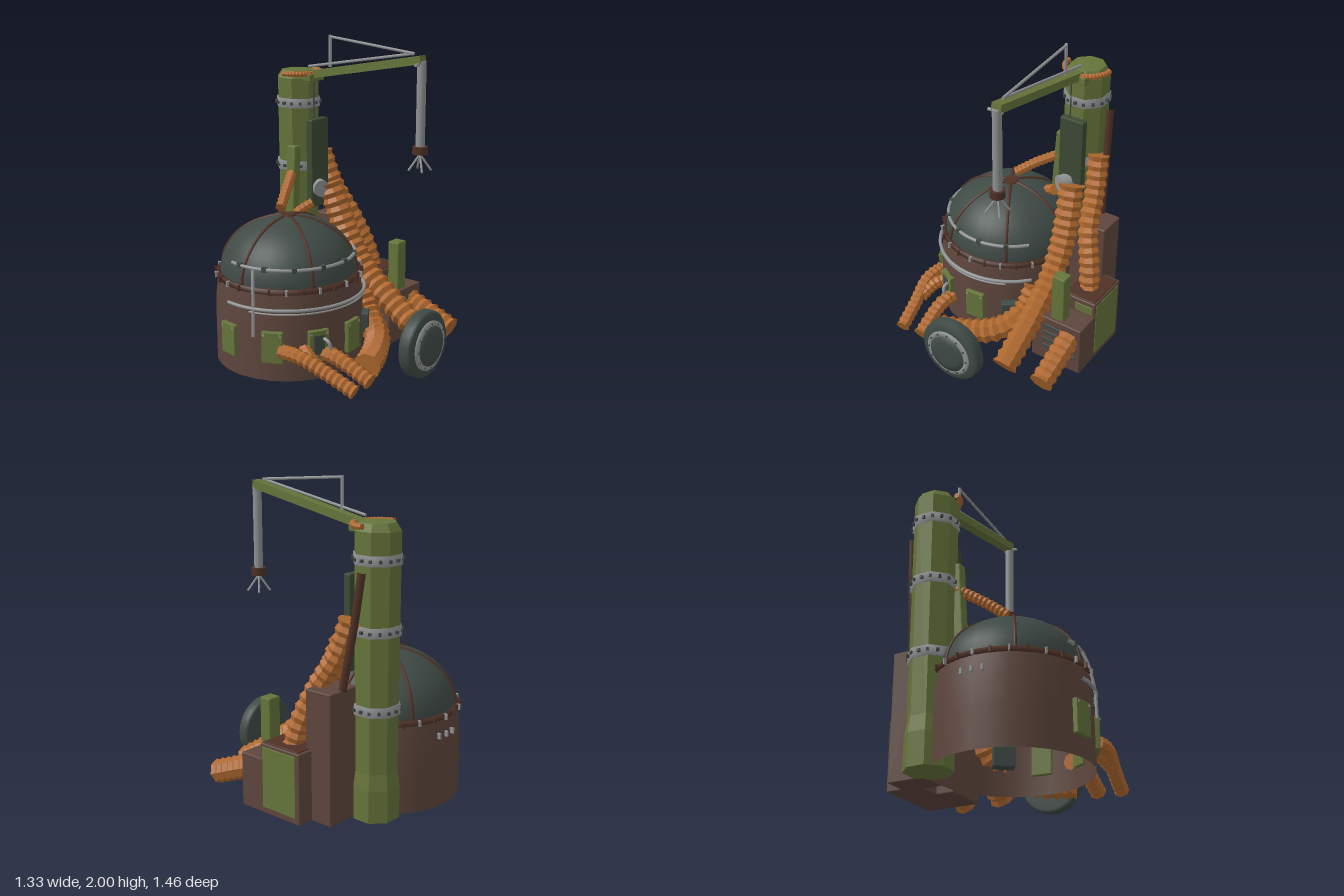
import * as THREE from 'three';
import { RoundedBoxGeometry } from 'three/addons/geometries/RoundedBoxGeometry.js';

const mat = (name, color, flatShading = false, side = THREE.FrontSide) =>
  Object.assign(new THREE.MeshStandardMaterial({ color, flatShading, side }), { name });
const V = (x, y, z) => new THREE.Vector3(x, y, z);
const CX = -0.17, CZ = -0.255; // drum axis
const TX = 0.226, TZ = -0.5;   // tower axis
const rad = THREE.MathUtils.degToRad;

export function createModel() {
  const root = new THREE.Group();
  const brown = mat('brown', 0x5e463d, false, THREE.DoubleSide);
  const rust = mat('darkRust', 0x4f3126);
  const green = mat('green', 0x65743a, true);
  const darkGreen = mat('darkGreen', 0x3c4a33, true);
  const dark = mat('charcoalGreen', 0x3f4a45, false, THREE.DoubleSide);
  const orange = mat('orange', 0xb0692f, true);
  const grey = mat('grey', 0x8f9192);

  const add = (name, geo, material, x = 0, y = 0, z = 0, parent = root) => {
    const m = new THREE.Mesh(geo, material);
    m.name = name;
    m.position.set(x, y, z);
    parent.add(m);
    return m;
  };
  // box given by its min and max corners
  const slab = (name, material, x0, x1, y0, y1, z0, z1, bevel = 0.008) =>
    add(name, new RoundedBoxGeometry(x1 - x0, y1 - y0, z1 - z0, 1, bevel), material,
      (x0 + x1) / 2, (y0 + y1) / 2, (z0 + z1) / 2);
  // straight rod between two points
  const rod = (name, material, a, b, r, r2 = r, sides = 8) => {
    const m = add(name, new THREE.CylinderGeometry(r2, r, a.distanceTo(b), sides), material);
    m.position.copy(a).lerp(b, 0.5);
    m.quaternion.setFromUnitVectors(V(0, 1, 0), b.clone().sub(a).normalize());
    return m;
  };
  const pipe = (name, material, pts, r, n = 32) =>
    add(name, new THREE.TubeGeometry(new THREE.CatmullRomCurve3(pts), n, r, 8), material);
  // ribbed hose: rings alternate wide and narrow, ends closed flat
  const hose = (name, pts, r, pitch = r * 0.85) => {
    const curve = new THREE.CatmullRomCurve3(pts);
    const n = Math.max(3, Math.round(curve.getLength() / pitch)) * 2, sides = 8;
    const geo = new THREE.TubeGeometry(curve, n, r, sides);
    const p = geo.attributes.position, v = V(0, 0, 0);
    for (let i = 0; i <= n; i++) {
      const c = curve.getPointAt(i / n);
      const k = i % 2 ? 1 : 0.8;
      const end = i === 0 || i === n;
      const capCentre = curve.getPointAt(i === 0 ? 1 / n : (n - 1) / n);
      for (let j = 0; j <= sides; j++) {
        const id = i * (sides + 1) + j;
        if (end) v.copy(capCentre);
        else v.fromBufferAttribute(p, id).sub(c).multiplyScalar(k).add(c);
        p.setXYZ(id, v.x, v.y, v.z);
      }
    }
    geo.computeVertexNormals();
    return add(name, geo, orange);
  };
  const polar = (deg, r, y, cx = CX, cz = CZ) =>
    V(cx + r * Math.cos(rad(deg)), y, cz + r * Math.sin(rad(deg)));
  const arc = (a0, a1, r, y, n = 14, cx = CX, cz = CZ) =>
    Array.from({ length: n + 1 }, (_, i) => polar(a0 + (a1 - a0) * i / n, r, y, cx, cz));
  // part turned to face outward from an axis
  const around = (name, geo, material, deg, r, y, cx, cz) => {
    const m = add(name, geo, material);
    m.position.copy(polar(deg, r, y, cx, cz));
    m.rotation.y = Math.PI / 2 - rad(deg);
    return m;
  };
  const lathe = (pts, n, phi = 0) =>
    new THREE.LatheGeometry(pts.map(([x, y]) => new THREE.Vector2(x, y)), n, phi);

  // Drum, open below, and dome
  add('drum', lathe([[0.468, 0], [0.468, 0.25], [0.463, 0.42], [0.448, 0.55]], 28), brown, CX, 0, CZ);
  const DR = 0.435, DH = 0.355, DY = 0.56;
  add('dome', new THREE.SphereGeometry(DR, 32, 12, 0, Math.PI * 2, 0, Math.PI / 2), dark, CX, DY, CZ)
    .scale.y = DH / DR;
  add('seamRing', lathe([[0.43, 0.545], [0.457, 0.545], [0.457, 0.575], [0.43, 0.575], [0.43, 0.545]], 28),
    rust, CX, 0, CZ);
  for (let k = 0; k < 6; k++) {
    const pts = Array.from({ length: 9 }, (_, i) => {
      const t = i / 8 * Math.PI / 2;
      return polar(k * 60, DR * Math.cos(t), DY + DH * Math.sin(t));
    });
    pipe('domeRib', rust, pts, 0.01, 20);
  }
  add('domeCap', new THREE.CylinderGeometry(0.045, 0.05, 0.016, 16), rust, CX, 0.916, CZ);
  const boltGeo = new THREE.BoxGeometry(0.012, 0.036, 0.024);
  for (let k = 0; k < 28; k++) around('seamBolt', boltGeo, k % 2 ? grey : rust, k * 360 / 28, 0.459, 0.56);

  // Rails and brackets round the drum
  pipe('upperRail', grey, arc(40, 195, 0.415, 0.685), 0.011, 48);
  pipe('lowerRail', grey, arc(40, 190, 0.478, 0.455), 0.011, 48);
  pipe('lowerRailTwin', grey, arc(60, 170, 0.475, 0.43), 0.006, 48);
  for (const a of [60, 85, 110, 135, 160, 185])
    around('railClip', new THREE.BoxGeometry(0.03, 0.03, 0.03), dark, a, 0.412, 0.685);
  pipe('sidePipe', grey, [polar(170, 0.42, 0.68), polar(168, 0.45, 0.6), polar(166, 0.478, 0.45),
    polar(166, 0.485, 0.28)], 0.01);
  for (const a of [262, 270, 278])
    around('backPeg', new THREE.BoxGeometry(0.012, 0.035, 0.04), grey, a, 0.46, 0.455);

  // Wall panels, showing on both sides of the drum wall
  for (const a of [85, 118, 152, 190]) {
    around('wallPanel', new RoundedBoxGeometry(0.13, 0.2, 0.045, 1, 0.006), green, a, 0.467, 0.22);
    for (const s of [-1, 1])
      around('panelBolt', new THREE.BoxGeometry(0.012, 0.012, 0.01), grey, a + s * 6, 0.492, 0.3);
  }
  around('panelOpening', new THREE.BoxGeometry(0.07, 0.12, 0.006), dark, 118, 0.492, 0.23);
  pipe('panelPipe', grey, [polar(115, 0.48, 0.27), polar(113, 0.53, 0.25), polar(111, 0.52, 0.18),
    polar(110, 0.46, 0.15)], 0.011);
  around('wallBox', new RoundedBoxGeometry(0.14, 0.13, 0.12, 1, 0.01), dark, 55, 0.45, 0.23);

  // Tower: eight-sided column with bevelled cap
  const oct = 1 / Math.cos(Math.PI / 8);
  const prism = pts => lathe(pts.map(([a, y]) => [a * oct, y]), 8, Math.PI / 8);
  add('tower', prism([[0, 0], [0.135, 0], [0.135, 0.2], [0.122, 0.3], [0.128, 1.72], [0.1, 1.765], [0, 1.77]]),
    green, TX, 0, TZ);
  for (const y of [1.56, 1.15, 0.68]) {
    add('towerBand', prism([[0.12, -0.03], [0.135, -0.03], [0.135, 0.03], [0.12, 0.03]]), grey, TX, y, TZ);
    for (let k = 0; k < 16; k++)
      around('bandBolt', new THREE.BoxGeometry(0.016, 0.018, 0.03), dark, k * 22.5, 0.137, y, TX, TZ);
  }
  hose('crownHose', arc(-5, 185, 0.143, 1.75, 12, TX, TZ), 0.019, 0.02);
  slab('towerPlate', darkGreen, 0.145, 0.312, 0.88, 1.46, -0.37, -0.32);
  rod('towerCable', dark, V(0.2, 1.4, -0.35), V(0.2, 1.7, -0.35), 0.004);
  const fin = slab('towerFin', green, 0.055, 0.115, 0.75, 1.29, -0.47, -0.4);
  fin.rotation.z = -0.06;
  const fitting = add('hoseFitting', new THREE.CylinderGeometry(0.055, 0.055, 0.07, 14), grey, 0.2, 1.01, -0.3);
  fitting.rotation.set(Math.PI / 2, 0, 0.5);
  pipe('sidePole', rust, [V(0.385, 1.5, -0.515), V(0.4, 1.2, -0.475), V(0.425, 0.8, -0.41)], 0.024);

  // Crane
  const arm = add('craneArm', new THREE.BoxGeometry(0.065, 0.05, 0.88), green, 0.226, 1.818, 0.03);
  arm.rotation.x = -0.185;
  slab('armFoot', green, 0.15, 0.3, 1.7, 1.75, -0.43, -0.34);
  const tip = V(0.226, 1.93, 0.4), mast = V(0.226, 1.99, -0.235);
  rod('craneStay', grey, tip, mast, 0.009);
  rod('craneMast', grey, V(0.226, 1.8, -0.235), V(0.226, 2, -0.235), 0.01);
  rod('craneLowerStay', grey, tip, V(0.226, 1.79, -0.41), 0.009);
  rod('tipPin', grey, V(0.165, 1.87, 0.45), V(0.26, 1.87, 0.45), 0.01);
  rod('hangingPipe', grey, V(0.226, 1.36, 0.455), V(0.226, 1.89, 0.455), 0.028, 0.028, 12);
  rod('clawCollar', rust, V(0.226, 1.33, 0.455), V(0.226, 1.378, 0.455), 0.047, 0.047, 10);
  for (let k = 0; k < 4; k++)
    rod('clawProng', grey, V(0.226, 1.33, 0.455), polar(45 + k * 90, 0.07, 1.23, 0.226, 0.455), 0.007);

  // Machine housing
  slab('frontHousing', brown, 0.3, 0.655, 0, 0.345, -0.1, 0.195);
  slab('sideHousing', brown, 0.42, 0.655, 0, 0.445, -0.28, 0.03);
  slab('tallHousing', brown, 0.3, 0.548, 0, 0.81, -0.425, -0.235);
  slab('housingTopEdge', rust, 0.43, 0.645, 0.44, 0.452, -0.26, 0.02, 0.004);
  slab('sidePanel', green, 0.652, 0.66, 0.04, 0.425, -0.25, 0.015, 0.003);
  slab('upperFrontPanel', green, 0.515, 0.64, 0.355, 0.415, 0.025, 0.036, 0.003);
  slab('greenPost', green, 0.424, 0.514, 0.3, 0.665, 0.09, 0.172);
  for (let k = 0; k < 4; k++)
    slab('grilleSlat', dark, 0.385, 0.625, 0.1 + k * 0.055, 0.128 + k * 0.055, 0.19, 0.2, 0.003);

  // Ribbed hoses
  hose('mainHose', [V(0.27, 1.06, -0.29), V(0.285, 0.9, -0.23), V(0.3, 0.7, -0.15), V(0.305, 0.5, -0.02),
    V(0.305, 0.3, 0.22), V(0.3, 0.1, 0.53)], 0.088, 0.062);
  hose('towerHose', [V(0.37, 1.24, -0.43), V(0.4, 1.0, -0.35), V(0.44, 0.78, -0.22), V(0.5, 0.58, -0.15),
    V(0.53, 0.4, -0.11)], 0.072, 0.062);
  hose('domeHose', [V(-0.18, 0.94, -0.315), V(-0.06, 1.03, -0.37), V(0.13, 1.14, -0.46)], 0.036);
  hose('shortHose', [V(0.03, 0.85, -0.38), V(0.08, 0.89, -0.345), V(0.14, 0.93, -0.3)], 0.034);
  hose('frontHose', [V(0.21, 0.42, 0), V(0.19, 0.25, 0.1), V(0.1, 0.15, 0.24), V(-0.06, 0.11, 0.34),
    V(-0.28, 0.1, 0.43)], 0.088, 0.06);
  hose('leftHose', [V(-0.56, 0.2, 0), V(-0.565, 0.2, 0.17), V(-0.53, 0.13, 0.35), V(-0.5, 0.05, 0.54)], 0.048);
  hose('leftBranchHose', [V(-0.44, 0.2, 0.08), V(-0.5, 0.19, 0.17), V(-0.53, 0.14, 0.3)], 0.045);
  hose('middleHose', [V(-0.34, 0.16, 0.13), V(-0.36, 0.16, 0.28), V(-0.35, 0.06, 0.54)], 0.052);
  hose('rightHose', [V(0.565, 0.25, 0.15), V(0.565, 0.19, 0.3), V(0.565, 0.1, 0.52)], 0.08, 0.06);

  // Wheel, facing the front
  const wheel = new THREE.Group();
  wheel.name = 'wheel';
  wheel.position.set(0.014, 0.222, 0.6);
  wheel.rotation.x = Math.PI / 2;
  root.add(wheel);
  const ring = (name, material, pts) => add(name, lathe(pts, 32), material, 0, 0, 0, wheel);
  ring('tyre', dark, [[0, 0], [0.195, 0], [0.21, 0.015], [0.21, 0.07], [0.195, 0.086], [0.155, 0.09], [0, 0.09]]);
  ring('wheelRim', grey, [[0.155, 0.085], [0.155, 0.1], [0.125, 0.105], [0.125, 0.085]]);
  ring('wheelDisc', dark, [[0.125, 0.09], [0.125, 0.11], [0.095, 0.112], [0.09, 0.122], [0, 0.122]]);
  for (let k = 0; k < 12; k++) {
    const a = k * Math.PI / 6;
    add('rimBolt', new THREE.CylinderGeometry(0.006, 0.006, 0.01, 6), dark,
      0.14 * Math.cos(a), 0.105, 0.14 * Math.sin(a), wheel);
  }
  return root;
}
